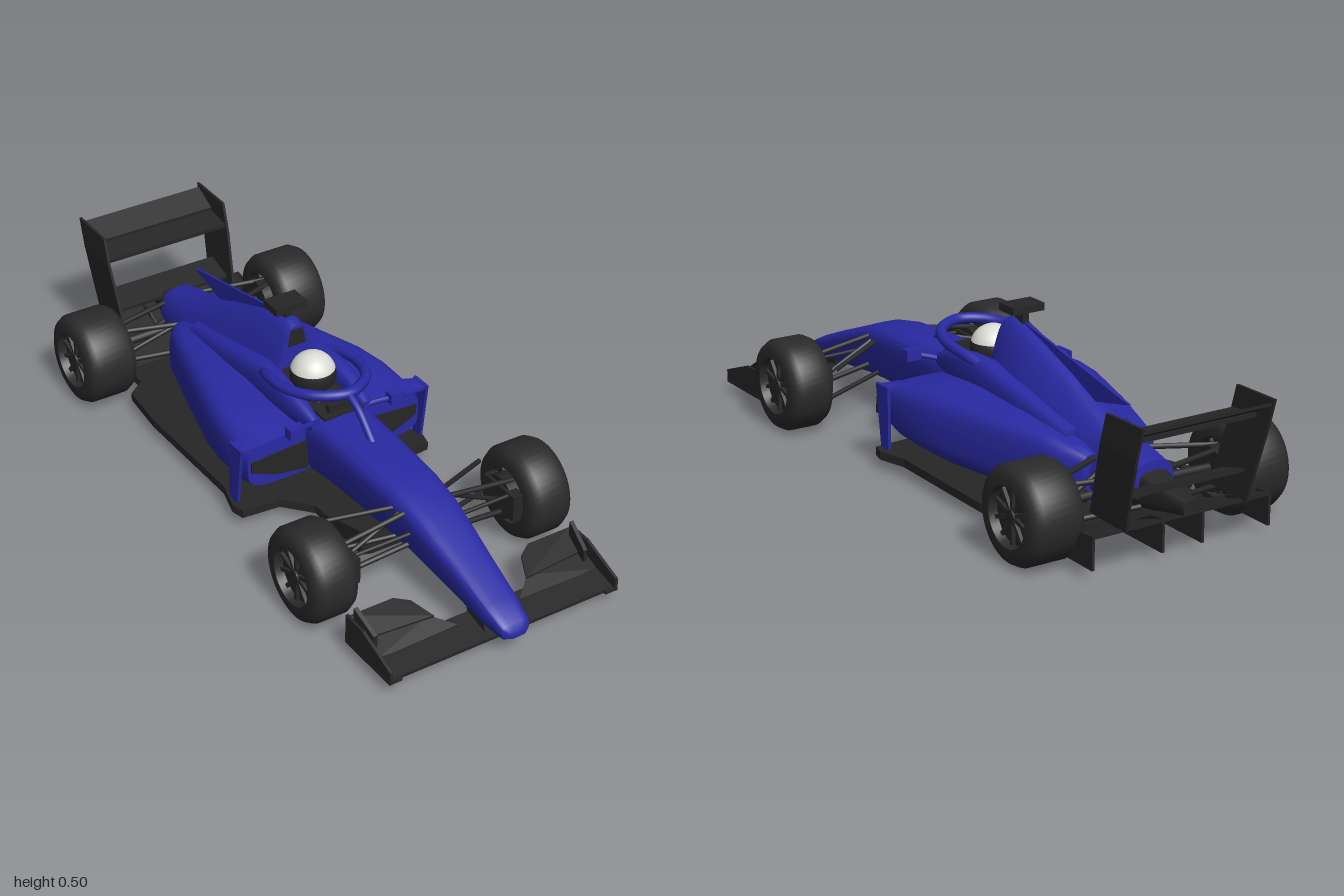
import * as THREE from 'three';
import { toCreasedNormals } from 'three/addons/utils/BufferGeometryUtils.js';
import { ConvexGeometry } from 'three/addons/geometries/ConvexGeometry.js';

const V = (p) => new THREE.Vector3(...p);

export function createModel() {
  const car = new THREE.Group();
  car.name = 'openWheelRaceCar';
  const material = (name, color) => {
    const m = new THREE.MeshStandardMaterial({ color });
    m.name = name;
    return m;
  };
  const blue = material('blue paint', 0x2929a2);
  const carbon = material('carbon', 0x262626);
  const rubber = material('rubber', 0x2a2a2a);
  const metal = material('dark rim', 0x232323);
  const white = material('helmet white', 0xdcdcd6);

  const add = (name, geo, mat, parent = car) => {
    const mesh = new THREE.Mesh(geo, mat);
    mesh.name = name;
    parent.add(mesh);
    return mesh;
  };
  const both = (fn) => [1, -1].forEach((s) => fn(s, s > 0 ? 'left' : 'right'));

  // Loft of rounded sections, front to back: [z, centreX, halfWidth, bottom, top, topWidening]
  const loft = (name, stations, mat, power = 0.55, n = 32) => {
    const pos = [], idx = [];
    const bend = (v) => Math.sign(v) * Math.abs(v) ** power;
    for (const [z, cx, w, y0, y1, k = 0] of stations) {
      for (let j = 0; j < n; j++) {
        const t = (j / n) * Math.PI * 2, s = bend(Math.sin(t));
        pos.push(cx + w * bend(Math.cos(t)) * (1 + k * s), (y0 + y1) / 2 + ((y1 - y0) / 2) * s, z);
      }
    }
    const last = stations.length - 1;
    for (const i of [0, last]) pos.push(stations[i][1], (stations[i][3] + stations[i][4]) / 2, stations[i][0]);
    for (let j = 0; j < n; j++) {
      const k = (j + 1) % n, c = (last + 1) * n;
      for (let i = 0; i < last; i++) {
        const a = i * n + j, b = i * n + k;
        idx.push(a, a + n, b, b, a + n, b + n);
      }
      idx.push(c, j, k, c + 1, last * n + k, last * n + j);
    }
    const geo = new THREE.BufferGeometry();
    geo.setAttribute('position', new THREE.Float32BufferAttribute(pos, 3));
    geo.setIndex(idx);
    return add(name, toCreasedNormals(geo, 0.7), mat);
  };

  // Solid plate: an outline swept along an offset; s mirrors it in x
  const plate = (name, pts, off, mat, s = 1) => {
    const all = pts.flatMap((p) => [p, p.map((v, i) => v + off[i])]);
    return add(name, new ConvexGeometry(all.map(([x, y, z]) => new THREE.Vector3(x * s, y, z))), mat);
  };
  const box = (name, size, at, mat) => add(name, new THREE.BoxGeometry(...size).translate(...at), mat);
  const tube = (name, pts, r, mat, n = 40) =>
    add(name, new THREE.TubeGeometry(new THREE.CatmullRomCurve3(pts.map(V)), n, r, 10), mat);
  const rod = (name, a, b, r, s) => {
    const m = (p) => V([p[0] * s, p[1], p[2]]);
    return add(name, new THREE.TubeGeometry(new THREE.LineCurve3(m(a), m(b)), 1, r, 8), carbon);
  };

  // Nose and tub
  loft('noseAndTub', [
    [1.0, 0, 0.025, 0.07, 0.09], [0.985, 0, 0.045, 0.063, 0.108], [0.92, 0, 0.056, 0.065, 0.138],
    [0.8, 0, 0.062, 0.075, 0.185, 0.08], [0.7, 0, 0.07, 0.085, 0.222, 0.12], [0.6, 0, 0.077, 0.095, 0.26, 0.13],
    [0.5, 0, 0.084, 0.1, 0.279, 0.12], [0.35, 0, 0.088, 0.1, 0.287, 0.12], [0.2, 0, 0.092, 0.095, 0.292, 0.1],
    [0, 0, 0.1, 0.075, 0.295, 0.05], [-0.15, 0, 0.11, 0.07, 0.295],
  ], blue);

  // Engine cover, fin and air intake
  loft('engineCover', [
    [-0.085, 0, 0.068, 0.15, 0.452, -0.42], [-0.12, 0, 0.08, 0.13, 0.465, -0.45],
    [-0.25, 0, 0.105, 0.1, 0.425, -0.55], [-0.4, 0, 0.11, 0.09, 0.37, -0.55], [-0.55, 0, 0.095, 0.09, 0.305, -0.4],
    [-0.66, 0, 0.078, 0.1, 0.265, -0.25], [-0.77, 0, 0.064, 0.13, 0.235, -0.15],
  ], blue, 0.7);
  plate('sharkFin', [[-0.004, 0.462, -0.13], [-0.004, 0.355, -0.66], [-0.004, 0.32, -0.5], [-0.004, 0.36, -0.2]],
    [0.008, 0, 0], blue);
  plate('airIntake', [[-0.03, 0.39, -0.083], [0.03, 0.39, -0.083], [0.02, 0.442, -0.083], [-0.02, 0.442, -0.083]],
    [0, 0, -0.008], carbon);
  box('cameraPod', [0.104, 0.022, 0.07], [0, 0.496, -0.145], carbon);
  box('cameraStem', [0.02, 0.05, 0.04], [0, 0.466, -0.145], carbon);

  // Cockpit, driver and halo
  box('cockpitOpening', [0.13, 0.008, 0.24], [0, 0.294, 0.045], carbon);
  loft('driverShoulders', [[0.09, 0, 0.04, 0.27, 0.305], [0.03, 0, 0.055, 0.27, 0.325], [-0.08, 0, 0.06, 0.27, 0.33]], carbon);
  add('helmetDome', new THREE.SphereGeometry(0.067, 32, 14, 0, Math.PI * 2, 0, 1.28).translate(0, 0.341, 0), white);
  add('helmetLower', new THREE.SphereGeometry(0.067, 32, 14, 0, Math.PI * 2, 1.28, Math.PI - 1.28).translate(0, 0.341, 0), carbon);
  box('steeringWheel', [0.08, 0.035, 0.015], [0, 0.305, 0.14], carbon);
  tube('haloHoop', [[-0.1, 0.325, -0.11], [-0.122, 0.348, -0.04], [-0.124, 0.36, 0.05], [-0.085, 0.371, 0.14], [0, 0.375, 0.185],
    [0.085, 0.371, 0.14], [0.124, 0.36, 0.05], [0.122, 0.348, -0.04], [0.1, 0.325, -0.11]], 0.016, blue, 60);
  tube('haloPillar', [[0, 0.373, 0.185], [0, 0.345, 0.24], [0, 0.278, 0.31]], 0.012, blue);

  both((s, side) => {
    // Cockpit rim, sidepods, mirrors and vanes
    loft(side + 'CockpitRim', [
      [0.15, s * 0.085, 0.015, 0.26, 0.298], [0.07, s * 0.092, 0.026, 0.25, 0.332],
      [-0.04, s * 0.095, 0.034, 0.24, 0.35], [-0.12, s * 0.09, 0.038, 0.22, 0.348],
      [-0.3, s * 0.088, 0.038, 0.2, 0.315], [-0.52, s * 0.075, 0.035, 0.18, 0.262],
    ], blue, 0.7, 20);
    loft(side + 'Sidepod', [
      [0.115, 0.287, 0.108, 0.252], [0.05, 0.295, 0.095, 0.265], [-0.05, 0.289, 0.085, 0.278], [-0.15, 0.272, 0.075, 0.28],
      [-0.35, 0.217, 0.07, 0.268], [-0.48, 0.178, 0.07, 0.252], [-0.56, 0.155, 0.073, 0.238], [-0.61, 0.115, 0.085, 0.22],
    ].map(([z, out, y0, y1]) => [z, s * (out + 0.04) / 2, (out - 0.04) / 2, y0, y1]), blue);
    plate(side + 'SidepodInlet', [[0.09, 0.118, 0.112], [0.2, 0.135, 0.112], [0.277, 0.168, 0.112], [0.277, 0.2, 0.112], [0.09, 0.212, 0.112]],
      [0, 0, 0.008], carbon, s);
    plate(side + 'SidepodVane', [[0.306, 0.07, 0.06], [0.306, 0.07, 0.1], [0.306, 0.255, 0.125], [0.306, 0.255, 0.06]],
      [0.009, 0, 0], blue, s);
    plate(side + 'VaneBridge', [[0.24, 0.25, 0.12], [0.314, 0.252, 0.12], [0.314, 0.252, 0.07], [0.24, 0.26, 0.05]],
      [0, -0.009, 0], blue, s);
    box(side + 'Mirror', [0.048, 0.032, 0.03], [s * 0.167, 0.3, 0.172], blue);
    tube(side + 'MirrorStalk', [[s * 0.15, 0.297, 0.17], [s * 0.12, 0.29, 0.155], [s * 0.085, 0.28, 0.14]], 0.008, blue, 10);

    // Front wing
    plate(side + 'FrontFlapLower', [[0.1, 0.065, 0.87], [0.36, 0.06, 0.87], [0.36, 0.09, 0.79], [0.16, 0.088, 0.82]], [0, -0.007, 0], carbon, s);
    plate(side + 'FrontFlapUpper', [[0.15, 0.09, 0.83], [0.36, 0.088, 0.81], [0.36, 0.118, 0.74], [0.22, 0.118, 0.74], [0.18, 0.11, 0.765]],
      [0, -0.007, 0], carbon, s);
    plate(side + 'FrontEndplate', [[0.36, 0.035, 0.95], [0.36, 0.075, 0.95], [0.36, 0.122, 0.82], [0.36, 0.125, 0.74], [0.36, 0.035, 0.74]],
      [0.009, 0, 0], carbon, s);
    plate(side + 'EndplateFoot', [[0.33, 0.045, 0.95], [0.37, 0.045, 0.95], [0.37, 0.045, 0.74], [0.33, 0.045, 0.74]], [0, -0.009, 0], carbon, s);
    plate(side + 'EndplateFin', [[0.335, 0.04, 0.84], [0.335, 0.11, 0.84], [0.345, 0.155, 0.76], [0.345, 0.04, 0.76]], [0.012, 0, 0], carbon, s);
    plate(side + 'NosePylon', [[0.04, 0.05, 0.92], [0.04, 0.1, 0.9], [0.04, 0.1, 0.83], [0.04, 0.05, 0.84]], [0.008, 0, 0], carbon, s);

    // Floor strakes and diffuser fences
    plate(side + 'FloorStrake', [[0.122, 0.04, 0.45], [0.122, 0.11, 0.44], [0.122, 0.09, 0.38], [0.126, 0.04, 0.2]], [0.006, 0, 0], carbon, s);
    for (const [x, front] of [[0.06, -0.68], [0.28, -0.78]]) {
      plate(side + 'DiffuserFence', [[x, 0.035, front], [x, 0.125, -0.85], [x, 0.13, -0.9], [x, 0.035, -0.9]], [0.008, 0, 0], carbon, s);
    }
    plate(side + 'DiffuserTip', [[0.2, 0.115, -0.82], [0.288, 0.115, -0.84], [0.288, 0.13, -0.9], [0.2, 0.13, -0.9]], [0, -0.01, 0], carbon, s);

    // Rear wing endplates
    plate(side + 'RearEndplate', [[0.204, 0.428, -0.845], [0.204, 0.43, -1.0], [0.204, 0.34, -0.975], [0.204, 0.34, -0.82]], [0.008, 0, 0], carbon, s);
    plate(side + 'RearEndplateLower', [[0.204, 0.342, -0.82], [0.204, 0.342, -0.975], [0.19, 0.125, -0.915], [0.19, 0.13, -0.76]],
      [0.008, 0, 0], carbon, s);

    // Suspension: [inner, outer, radius]
    [
      [[0.07, 0.235, 0.575], [0.3, 0.2, 0.57], 0.008], [[0.07, 0.23, 0.535], [0.27, 0.195, 0.44], 0.007],
      [[0.06, 0.14, 0.59], [0.3, 0.105, 0.57], 0.008], [[0.07, 0.13, 0.53], [0.28, 0.105, 0.46], 0.007],
      [[0.07, 0.23, 0.555], [0.29, 0.12, 0.55], 0.007], [[0.06, 0.185, 0.605], [0.29, 0.18, 0.6], 0.006],
      [[0.05, 0.21, -0.6], [0.28, 0.2, -0.69], 0.008], [[0.05, 0.2, -0.76], [0.28, 0.2, -0.71], 0.008],
      [[0.05, 0.13, -0.58], [0.28, 0.1, -0.68], 0.008], [[0.05, 0.12, -0.78], [0.28, 0.1, -0.72], 0.008],
      [[0.04, 0.15, -0.7], [0.28, 0.145, -0.7], 0.013], [[0.05, 0.2, -0.64], [0.27, 0.11, -0.68], 0.007],
    ].forEach(([a, b, r]) => rod(side + 'SuspensionArm', a, b, r, s));

    // Wheels: [name, z, x centre, width]
    for (const [end, z, x, w] of [['Front', 0.55, 0.35, 0.138], ['Rear', -0.7, 0.335, 0.162]]) {
      const wheel = new THREE.Group();
      wheel.name = side + end + 'Wheel';
      wheel.position.set(s * x, 0.142, z);
      car.add(wheel);
      const h = w / 2;
      const profile = [[0.078, 0.03 - h], [0.084, -h], [0.11, -h], [0.127, 0.008 - h], [0.138, 0.028 - h],
        [0.138, h - 0.028], [0.127, h - 0.008], [0.11, h], [0.084, h], [0.078, h - 0.03]];
      const tyre = new THREE.LatheGeometry(profile.map((p) => new THREE.Vector2(...p)), 48).rotateZ(-Math.PI / 2);
      add('tyre', toCreasedNormals(tyre, 0.7), rubber, wheel);
      add('rimDisc', new THREE.CylinderGeometry(0.08, 0.08, w - 0.05, 32).rotateZ(Math.PI / 2), metal, wheel);
      add('hub', new THREE.CylinderGeometry(0.02, 0.02, w - 0.018, 16).rotateZ(Math.PI / 2), carbon, wheel);
      for (let i = 0; i < 10; i++) {
        add('spoke', new THREE.BoxGeometry(w - 0.03, 0.062, 0.011).translate(0, 0.048, 0).rotateX((i * Math.PI) / 5), rubber, wheel);
      }
      add('brakeDrum', new THREE.CylinderGeometry(0.065, 0.065, 0.04, 24).rotateZ(Math.PI / 2).translate(-s * h, 0, 0), carbon, wheel);
      if (end === 'Front') box(side + 'BrakeDuct', [0.035, 0.08, 0.14], [s * 0.268, 0.15, 0.56], carbon);
    }
  });

  // Front wing main plane
  plate('frontMainPlane', [[-0.36, 0.045, 0.94], [0.36, 0.045, 0.94], [0.36, 0.068, 0.84], [-0.36, 0.068, 0.84]], [0, -0.01, 0], carbon);

  // Floor outline, mirrored, extruded downwards
  const half = [[0.1, 0.46], [0.127, 0.45], [0.13, 0.22], [0.2, 0.14], [0.315, 0.13], [0.325, 0.09],
    [0.3, 0], [0.305, -0.4], [0.29, -0.56], [0.235, -0.6], [0.235, -0.68]];
  const outline = [...half, ...half.map(([x, z]) => [-x, z]).reverse()].map((p) => new THREE.Vector2(...p));
  add('floor', new THREE.ExtrudeGeometry(new THREE.Shape(outline), { depth: 0.025, bevelEnabled: false })
    .rotateX(Math.PI / 2).translate(0, 0.06, 0), carbon);
  box('plank', [0.2, 0.01, 1.0], [0, 0.034, -0.1], carbon);

  // Diffuser ramp, gearbox and rear wing
  plate('diffuser', [[-0.235, 0.05, -0.67], [0.235, 0.05, -0.67], [0.235, 0.13, -0.9], [-0.235, 0.13, -0.9]], [0, -0.01, 0], carbon);
  loft('gearbox', [[-0.74, 0, 0.055, 0.1, 0.215], [-0.85, 0, 0.035, 0.12, 0.19], [-0.93, 0, 0.025, 0.135, 0.175]], carbon);
  plate('beamWing', [[-0.195, 0.19, -0.81], [0.195, 0.19, -0.81], [0.195, 0.215, -0.9], [-0.195, 0.215, -0.9]], [0, -0.01, 0], carbon);
  plate('rearMainPlane', [[-0.206, 0.362, -0.83], [0.206, 0.362, -0.83], [0.206, 0.375, -0.93], [-0.206, 0.375, -0.93]], [0, -0.012, 0], carbon);
  plate('rearFlap', [[-0.206, 0.382, -0.915], [0.206, 0.382, -0.915], [0.206, 0.42, -0.99], [-0.206, 0.42, -0.99]], [0, -0.01, 0], carbon);
  return car;
}
